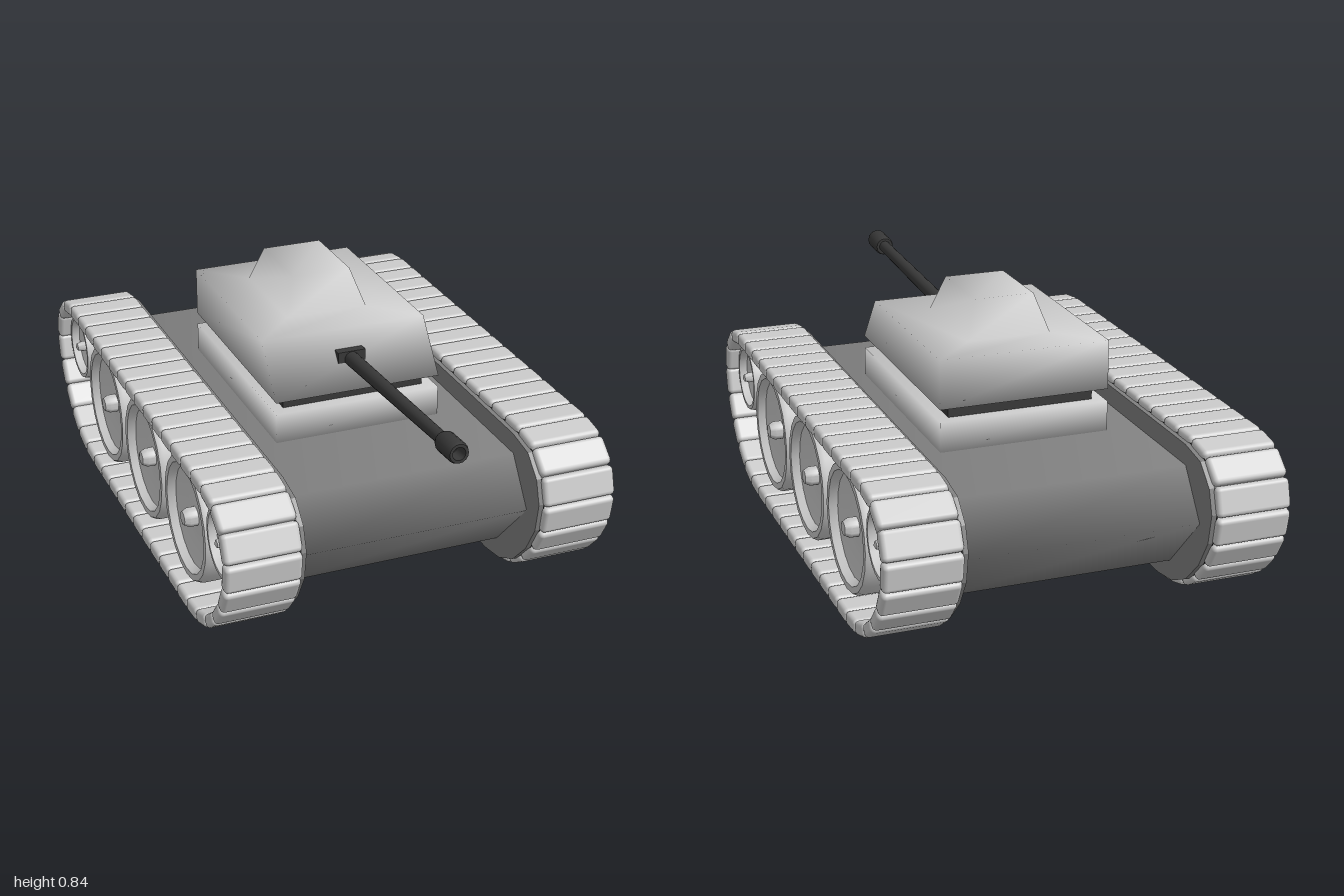
import * as THREE from 'three';
import { RoundedBoxGeometry } from 'three/addons/geometries/RoundedBoxGeometry.js';
import { toCreasedNormals } from 'three/addons/utils/BufferGeometryUtils.js';

const mat = (color) => new THREE.MeshStandardMaterial({ color });
const light = mat(0xcccccc), hullGrey = mat(0x808080), dark = mat(0x383838), black = mat(0x141414);

function add(parent, name, geometry, material, x = 0, y = 0, z = 0) {
  const mesh = new THREE.Mesh(geometry, material);
  mesh.name = name;
  mesh.position.set(x, y, z);
  parent.add(mesh);
  return mesh;
}

// Stack of rectangles [y, halfWidth, backZ, frontZ] skinned with shared, smooth corners
function loft(sections) {
  const pos = [], index = [];
  for (const [y, w, z0, z1] of sections) pos.push(-w, y, z1, w, y, z1, w, y, z0, -w, y, z0);
  for (let s = 0; s < sections.length - 1; s++) {
    for (let k = 0; k < 4; k++) {
      const a = s * 4 + k, b = s * 4 + (k + 1) % 4;
      index.push(a, b, b + 4, a, b + 4, a + 4);
    }
  }
  const t = (sections.length - 1) * 4;
  index.push(0, 2, 1, 0, 3, 2, t, t + 1, t + 2, t, t + 2, t + 3);
  const g = new THREE.BufferGeometry();
  g.setAttribute('position', new THREE.Float32BufferAttribute(pos, 3));
  g.setIndex(index);
  g.computeVertexNormals();
  return g;
}

// Dished road wheel with raised rim and hub, axis along x
function wheelGeometry(r, hub) {
  const profile = [
    [0, 0.41], [r * 0.96, 0.41], [r, 0.425], [r, 0.57], [r * 0.96, 0.585], [r * 0.86, 0.585],
    [r * 0.8, 0.56], [r * 0.45, 0.545], [hub, 0.55], [hub, 0.575], [hub * 0.7, 0.592], [0, 0.598],
  ].map(([a, b]) => new THREE.Vector2(a, b));
  return toCreasedNormals(new THREE.LatheGeometry(profile, 20).rotateZ(-Math.PI / 2), 0.7);
}

// Closed track loop in (z, y), front half mirrored to the back
const half = [[0.7, 0.498], [0.8, 0.48], [0.862, 0.42], [0.885, 0.345], [0.868, 0.25],
  [0.815, 0.16], [0.735, 0.08], [0.645, 0.036], [0.55, 0.022]];
const loop = [...half, ...half.map(([z, y]) => [-z, y]).reverse()].map(([z, y]) => new THREE.Vector2(z, y));
loop.push(loop[0].clone());

function createTrack() {
  const track = new THREE.Group();
  const shape = new THREE.Shape(loop);

  // Inner wall and its dark outer face
  const wall = (depth) => new THREE.ExtrudeGeometry(shape, { depth, bevelEnabled: false }).rotateY(-Math.PI / 2);
  add(track, 'trackWall', wall(0.015), hullGrey, 0.386);
  add(track, 'trackWallLining', wall(0.004), black, 0.39);

  // Links
  const count = 44;
  const pts = shape.getSpacedPoints(count);
  const pitch = shape.getLength() / count;
  const link = new RoundedBoxGeometry(0.236, 0.043, pitch * 0.98, 2, 0.014);
  for (let i = 0; i < count; i++) {
    const a = pts[i], b = pts[i + 1];
    const m = add(track, 'trackLink', link, light, 0.503, (a.y + b.y) / 2, (a.x + b.x) / 2);
    m.rotation.x = Math.atan2(a.y - b.y, b.x - a.x);
  }

  // Road wheels and end wheels
  const big = wheelGeometry(0.203, 0.03), small = wheelGeometry(0.113, 0.017);
  for (const z of [-0.422, 0, 0.422]) add(track, 'roadWheel', big, light, 0, 0.262, z);
  for (const z of [-0.738, 0.738]) add(track, 'endWheel', small, light, 0, 0.343, z);
  return track;
}

export function createModel() {
  const tank = new THREE.Group();
  tank.name = 'tank';

  // Hull
  add(tank, 'hull', loft([
    [0.095, 0.376, -0.72, 0.53], [0.29, 0.376, -0.905, 0.717], [0.435, 0.376, -0.80, 0.615],
  ]), hullGrey);

  // Turret base, ring and turret with raised hatch
  add(tank, 'turretBase', loft([[0.43, 0.27, -0.46, 0.285], [0.53, 0.27, -0.46, 0.285]]), light);
  add(tank, 'turretRing', new THREE.BoxGeometry(0.465, 0.06, 0.67), dark, 0, 0.55, -0.09);
  add(tank, 'turret', loft([
    [0.57, 0.27, -0.46, 0.287], [0.725, 0.27, -0.46, 0.165],
    [0.725, 0.133, -0.325, 0.025], [0.841, 0.096, -0.28, -0.022],
  ]), light);

  // Gun, raised slightly
  add(tank, 'gunMount', new THREE.BoxGeometry(0.09, 0.045, 0.09), dark, 0, 0.653, 0.187);
  const gun = new THREE.Group();
  gun.name = 'gun';
  gun.position.set(0, 0.647, 0.17);
  gun.rotation.x = -0.051;
  const tube = (r0, r1, len) => new THREE.CylinderGeometry(r1, r0, len, 16).rotateX(Math.PI / 2);
  add(gun, 'barrel', tube(0.024, 0.019, 0.75), dark, 0, 0, 0.375);
  const bore = [[0.02, 0.73], [0.029, 0.73], [0.033, 0.74], [0.033, 0.82], [0.029, 0.83], [0.02, 0.83], [0.018, 0.78], [0, 0.78]];
  add(gun, 'muzzle', toCreasedNormals(new THREE.LatheGeometry(
    bore.map(([r, z]) => new THREE.Vector2(r, z)), 16).rotateX(Math.PI / 2), 0.6), dark);
  tank.add(gun);

  // Tracks: each is symmetric front to back, so half a turn gives the other side
  for (const side of [1, -1]) {
    const track = createTrack();
    track.name = side > 0 ? 'leftTrack' : 'rightTrack';
    track.position.z = -0.093;
    track.rotation.y = side > 0 ? 0 : Math.PI;
    tank.add(track);
  }
  return tank;
}
